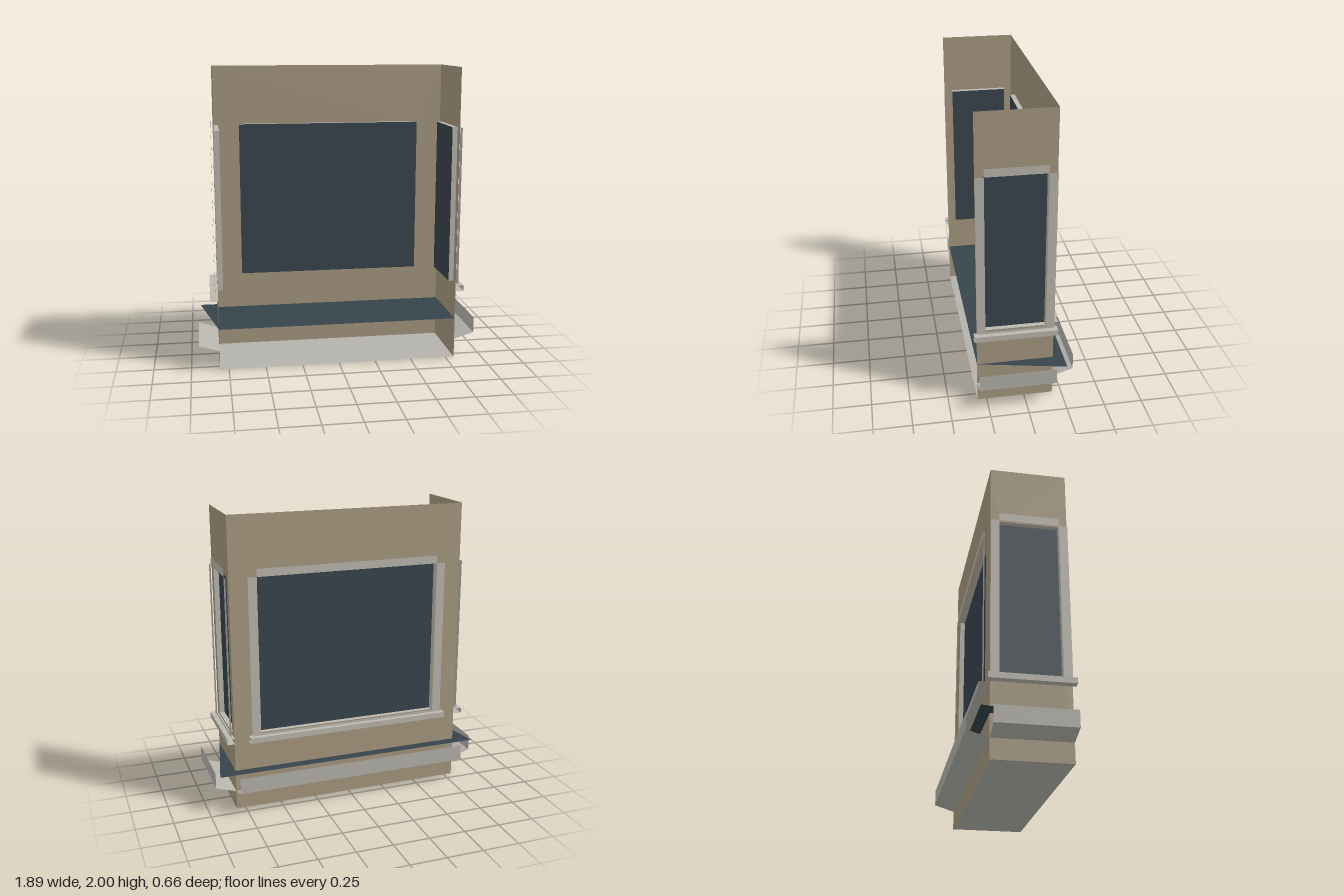
import * as THREE from 'three';

const mat = (name, color) => {
  const m = new THREE.MeshStandardMaterial({ color, side: THREE.DoubleSide });
  m.name = name;
  return m;
};

const W = 0.81, BACK = -0.19, FRONT = 0.31, MID = 0.06, HALF_D = 0.25;
const Y0 = 0.535, Y1 = 1.6; // window opening

export function createModel() {
  const plaster = mat('tan plaster', 0xa6987f);
  const trim = mat('pale trim', 0xbab7ae);
  const stone = mat('grey stone', 0xb3b2ab);
  const slate = mat('dark slate glass', 0x37444c);

  const root = new THREE.Group();
  root.name = 'bayWindow';

  const add = (parent, name, geometry, material) => {
    const mesh = new THREE.Mesh(geometry, material);
    mesh.name = name;
    parent.add(mesh);
    return mesh;
  };

  // Flat upright rectangle at depth z
  const panel = (parent, name, x0, x1, y0, y1, z, material) => {
    const g = new THREE.PlaneGeometry(x1 - x0, y1 - y0);
    g.translate((x0 + x1) / 2, (y0 + y1) / 2, z);
    return add(parent, name, g, material);
  };

  // Open strip: a [z, y] profile swept along x, without end caps
  const strip = (parent, name, halfW, profile, material) => {
    const pos = [];
    for (let i = 0; i < profile.length - 1; i++) {
      const [za, ya] = profile[i], [zb, yb] = profile[i + 1];
      const a = [-halfW, ya, za], b = [-halfW, yb, zb];
      const c = [halfW, yb, zb], d = [halfW, ya, za];
      pos.push(...a, ...b, ...c, ...a, ...c, ...d);
    }
    const g = new THREE.BufferGeometry();
    g.setAttribute('position', new THREE.Float32BufferAttribute(pos, 3));
    g.computeVertexNormals();
    return add(parent, name, g, material);
  };

  // One bay side, outer face towards local +z
  const baySide = (name, wallHalf, winHalf, trimW, sillHalf) => {
    const side = new THREE.Group();
    side.name = name;

    // Wall with window opening
    const wall = new THREE.Shape([
      new THREE.Vector2(-wallHalf, 0), new THREE.Vector2(wallHalf, 0),
      new THREE.Vector2(wallHalf, 2), new THREE.Vector2(-wallHalf, 2)]);
    wall.holes.push(new THREE.Path([
      new THREE.Vector2(-winHalf, Y0), new THREE.Vector2(-winHalf, Y1),
      new THREE.Vector2(winHalf, Y1), new THREE.Vector2(winHalf, Y0)]));
    add(side, 'wall', new THREE.ShapeGeometry(wall), plaster);

    // Recessed glass and the reveal around it
    panel(side, 'glass', -winHalf, winHalf, Y0, Y1, -0.035, slate);
    strip(side, 'revealBottom', winHalf, [[0, Y0], [-0.035, Y0]], trim);
    strip(side, 'revealTop', winHalf, [[-0.035, Y1], [0, Y1]], trim);
    for (const s of [-1, 1]) {
      const g = new THREE.PlaneGeometry(0.035, Y1 - Y0);
      g.rotateY(-s * Math.PI / 2);
      g.translate(s * winHalf, (Y0 + Y1) / 2, -0.0175);
      add(side, 'revealSide', g, trim);
      // Upright casing
      const a = s * winHalf, b = s * (winHalf + trimW);
      panel(side, 'casingSide', Math.min(a, b), Math.max(a, b), 0.52, Y1, 0.018, trim);
    }
    panel(side, 'casingTop', -winHalf, winHalf, Y1, 1.653, 0.018, trim);
    panel(side, 'casingBottom', -winHalf, winHalf, 0.52, Y0, 0.018, trim);

    // Window sill
    strip(side, 'sill', sillHalf, [[0, 0.52], [0.052, 0.52], [0.052, 0.482], [0, 0.482]].reverse(), trim);
    // Lower moulding: upright band and sloping underside
    strip(side, 'moulding', wallHalf, [[0, 0.13], [0.137, 0.172], [0.137, 0.28]], stone);

    root.add(side);
    return side;
  };

  const back = baySide('backSide', W, 0.63, 0.06, 0.71);
  back.position.z = BACK;
  back.rotation.y = Math.PI;

  for (const s of [-1, 1]) {
    const side = baySide(s > 0 ? 'leftSide' : 'rightSide', HALF_D, 0.195, 0.055, 0.27);
    side.position.set(s * W, 0, MID);
    side.rotation.y = s * Math.PI / 2;
  }

  // Floor
  const floor = new THREE.PlaneGeometry(2 * W, FRONT - BACK);
  floor.rotateX(-Math.PI / 2);
  floor.translate(0, 0, MID);
  add(root, 'floor', floor, stone);

  // Flared ledge at window-seat height
  const ledge = new THREE.ShapeGeometry(new THREE.Shape([
    new THREE.Vector2(-W, -FRONT), new THREE.Vector2(W, -FRONT),
    new THREE.Vector2(0.93, 0.26), new THREE.Vector2(-0.93, 0.26)]));
  ledge.rotateX(-Math.PI / 2);
  ledge.translate(0, 0.28, 0);
  add(root, 'ledge', ledge, slate);

  return root;
}
